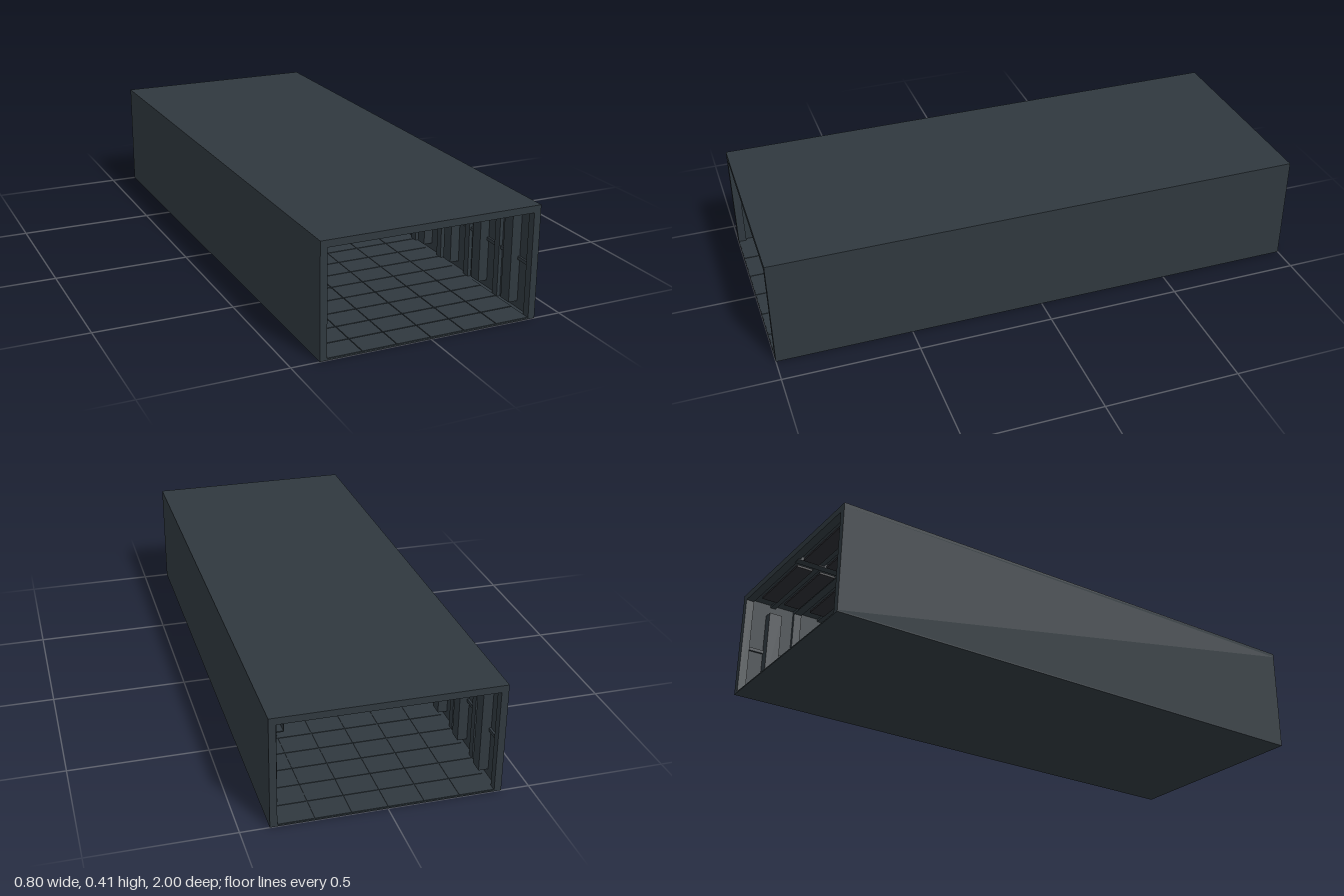
import * as THREE from 'three';

export function createModel() {
  const root = new THREE.Group();
  root.name = 'corridor';
  const mat = (name, color) => {
    const m = new THREE.MeshStandardMaterial({ color });
    m.name = name;
    return m;
  };
  const steel = mat('dark slate steel', 0x2f383e);
  const trim = mat('dark trim', 0x2a2b30);

  function box(name, w, h, d, x, y, z, material = steel, parent = root) {
    const m = new THREE.Mesh(new THREE.BoxGeometry(w, h, d), material);
    m.name = name;
    m.position.set(x, y, z);
    parent.add(m);
    return m;
  }
  // Bar stretched between two points
  function bar(name, a, b, w, d, material = steel) {
    const p = new THREE.Vector3(...a), q = new THREE.Vector3(...b);
    const m = box(name, w, p.distanceTo(q), d, 0, 0, 0, material);
    m.position.copy(p).add(q).multiplyScalar(0.5);
    m.quaternion.setFromUnitVectors(new THREE.Vector3(0, 1, 0), q.sub(p).normalize());
  }

  // Outer shell, open at both ends
  box('floor', 0.8, 0.005, 2, 0, 0.0025, 0);
  box('ceiling', 0.8, 0.013, 2, 0, 0.4015, 0);
  for (const s of [-1, 1]) box('wall', 0.012, 0.39, 2, s * 0.394, 0.2, 0);

  // Floor tiles with narrow seams
  const tiles = new THREE.Group();
  tiles.name = 'floorTiles';
  root.add(tiles);
  for (let i = 0; i < 20; i++) {
    for (let j = 0; j < 6; j++) {
      box('floorTile', 0.122, 0.002, 0.096, -0.3125 + j * 0.125, 0.006, -0.95 + i * 0.1, steel, tiles);
    }
  }

  // Portal ribs along the length
  const ribs = 11;
  for (let i = 0; i < ribs; i++) {
    const z = -0.985 + (i * 1.97) / (ribs - 1);
    const rib = new THREE.Group();
    rib.name = 'portalRib';
    root.add(rib);
    box('ribBeam', 0.776, 0.012, 0.03, 0, 0.389, z, steel, rib);
    for (const s of [-1, 1]) box('ribPost', 0.013, 0.378, 0.03, s * 0.3815, 0.194, z, steel, rib);
  }

  // Bays between ribs: wall columns, mid rails and ceiling panels
  for (let i = 0; i < ribs - 1; i++) {
    const z = -0.985 + ((i + 0.5) * 1.97) / (ribs - 1);
    for (const s of [-1, 1]) {
      box('wallColumn', 0.035, 0.315, 0.05, s * 0.3705, 0.1875, z);
      box('wallRail', 0.008, 0.012, 0.17, s * 0.384, 0.19, z);
      for (const dz of [-0.045, 0.045]) {
        box('ceilingPanel', 0.295, 0.008, 0.06, s * 0.1725, 0.379, z + dz, trim);
      }
    }
    box('ceilingJoist', 0.776, 0.01, 0.02, 0, 0.39, z);
    box('ceilingConduit', 0.03, 0.014, 0.18, 0, 0.388, z);
  }

  // Fallen beams leaning inside
  bar('fallenBeam', [-0.317, 0.02, 0.69], [-0.113, 0.298, 0.35], 0.014, 0.014);
  bar('fallenBeam', [-0.289, 0.03, 0.1], [-0.071, 0.268, -0.1], 0.01, 0.012);
  bar('fallenBeam', [0.317, 0.02, -0.45], [0.125, 0.305, -0.6], 0.014, 0.014);

  // Cross barrier with two thin rails
  box('crossBar', 0.7, 0.006, 0.03, 0, 0.158, 0);
  box('crossBarPlate', 0.65, 0.004, 0.02, 0, 0.163, 0);
  box('crossBarPad', 0.15, 0.004, 0.03, -0.17, 0.152, 0);
  box('crossBarPad', 0.15, 0.004, 0.03, 0.17, 0.152, 0);
  for (const y of [0.185, 0.198]) box('crossRail', 0.636, 0.003, 0.004, 0, y, 0, trim);

  // Small wall trays on brackets
  for (const s of [-1, 1]) {
    box('wallTray', 0.08, 0.004, 0.08, s * 0.314, 0.156, s * -0.65);
    box('trayLip', 0.003, 0.043, 0.08, s * 0.274, 0.178, s * -0.65);
  }
  box('loosePlate', 0.075, 0.002, 0.05, -0.262, 0.26, -0.3, trim);

  return root;
}
